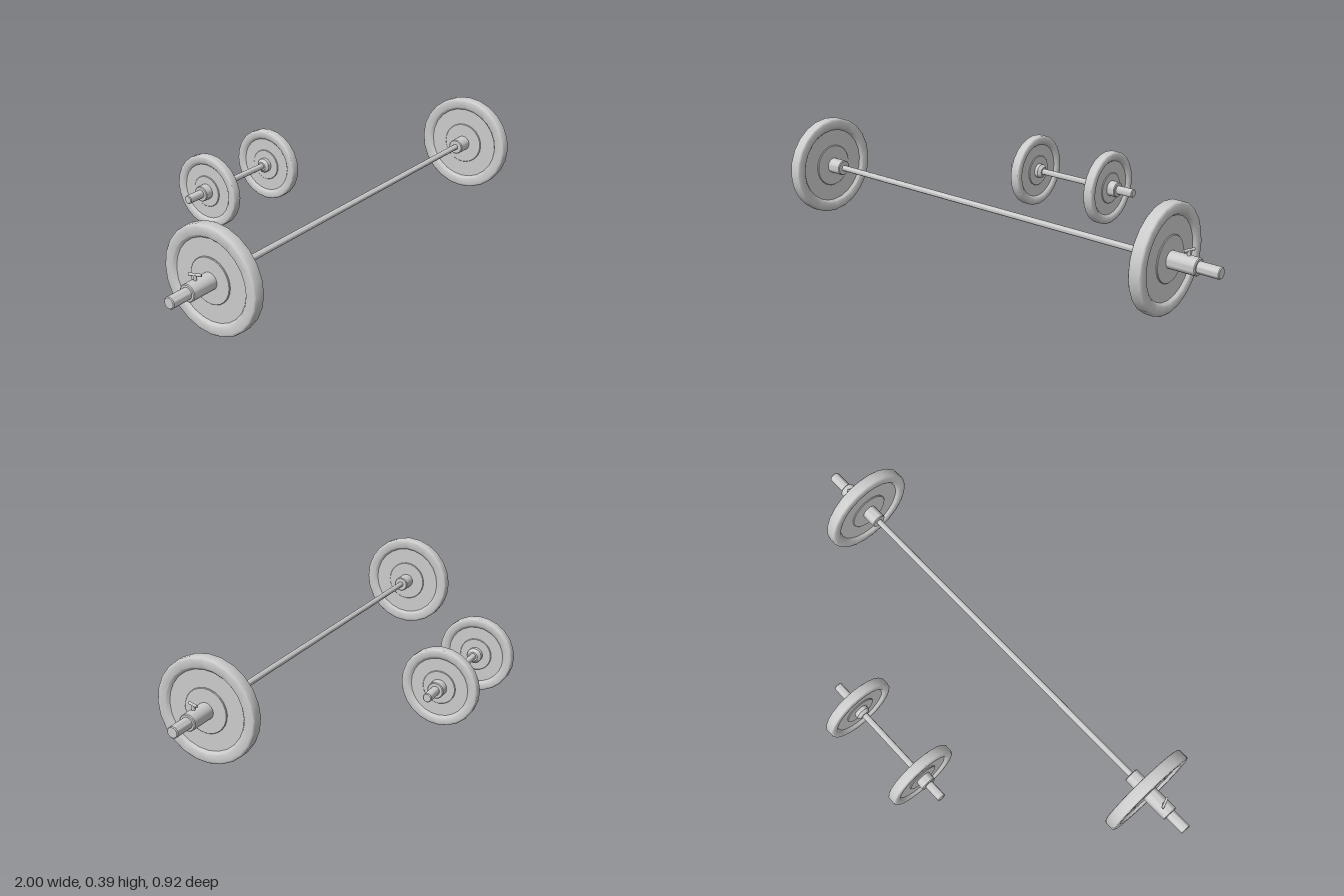
import * as THREE from 'three';
import { toCreasedNormals } from 'three/addons/utils/BufferGeometryUtils.js';

const material = new THREE.MeshStandardMaterial({ color: 0xcccccc });

// Solid of revolution about the x axis; profile is [radius, distance outward], s is the side
function revolve(name, profile, s = 1, sides = 24) {
  const points = profile.map(([r, d]) => new THREE.Vector2(r, d));
  const geometry = toCreasedNormals(new THREE.LatheGeometry(points, sides), 0.55);
  geometry.rotateZ(-s * Math.PI / 2);
  const mesh = new THREE.Mesh(geometry, material);
  mesh.name = name;
  return mesh;
}

// Round rod between two distances, with small bevels at both ends
function rod(name, r, from, to, s = 1, bevel = 0.003) {
  return revolve(name, [
    [0, from], [r - bevel, from], [r, from + bevel],
    [r, to - bevel], [r - bevel, to], [0, to],
  ], s);
}

// Weight plate: rounded rim, sloped recess wall, thin web and raised hub
function plate(R, half, recess, hub, s) {
  const web = half * 0.55, boss = half * 0.75, b = half * 0.4;
  const face = [
    [0, boss], [hub - 0.002, boss], [hub, boss - 0.002], [hub, web],
    [recess - 0.008, web], [recess, half - 0.001], [recess + 0.002, half], [R - b, half],
    [R - b * 0.5, half - b * 0.13], [R - b * 0.13, half - b * 0.5], [R, half - b],
  ];
  const back = face.map(([r, d]) => [r, -d]);
  return revolve('weightPlate', [...back, ...face.reverse()], s);
}

// T-shaped screw that locks the outer collar
function lockScrew(s) {
  const screw = new THREE.Group();
  screw.name = 'lockScrew';
  const stem = new THREE.Mesh(new THREE.CylinderGeometry(0.006, 0.006, 0.03, 12), material);
  stem.name = 'screwStem';
  stem.position.y = 0.035;
  const grip = new THREE.Mesh(new THREE.CylinderGeometry(0.005, 0.005, 0.044, 12), material);
  grip.name = 'screwGrip';
  grip.rotation.x = Math.PI / 2;
  grip.position.y = 0.049;
  screw.add(stem, grip);
  screw.position.x = s * 0.88;
  screw.rotation.y = -s * 0.38;
  return screw;
}

function createBarbell() {
  const group = new THREE.Group();
  group.name = 'barbell';
  group.add(rod('barbellShaft', 0.0115, -0.74, 0.74));
  for (const s of [-1, 1]) {
    const end = new THREE.Group();
    end.name = s > 0 ? 'leftBarbellEnd' : 'rightBarbellEnd';
    const weight = plate(0.193, 0.024, 0.155, 0.083, s);
    weight.position.x = s * 0.797;
    end.add(
      weight,
      rod('innerCollar', 0.03, 0.717, 0.8, s),
      rod('outerCollar', 0.031, 0.8, 0.92, s),
      rod('sleeve', 0.021, 0.8, 1, s),
      lockScrew(s),
    );
    group.add(end);
  }
  group.position.set(0, 0.196, 0.266);
  return group;
}

function createDumbbell() {
  const group = new THREE.Group();
  group.name = 'dumbbell';
  group.add(rod('dumbbellHandle', 0.012, -0.19, 0.19));
  for (const s of [-1, 1]) {
    const end = new THREE.Group();
    end.name = s > 0 ? 'leftDumbbellEnd' : 'rightDumbbellEnd';
    const weight = plate(0.147, 0.02, 0.118, 0.063, s);
    weight.position.x = s * 0.181;
    end.add(
      weight,
      // tapered stop between the handle and the plate
      revolve('innerCollar', [[0, 0.14], [0.018, 0.14], [0.029, 0.151], [0.029, 0.185], [0, 0.185]], s),
      rod('outerCollar', 0.031, 0.18, 0.23, s),
      rod('sleeve', 0.017, 0.18, 0.302, s),
    );
    group.add(end);
  }
  group.position.set(0, 0.15, -0.31);
  return group;
}

export function createModel() {
  const model = new THREE.Group();
  model.name = 'freeWeights';
  model.add(createBarbell(), createDumbbell());
  // rest the large plates on the ground
  const box = new THREE.Box3().setFromObject(model);
  model.position.y = -box.min.y;
  return model;
}
